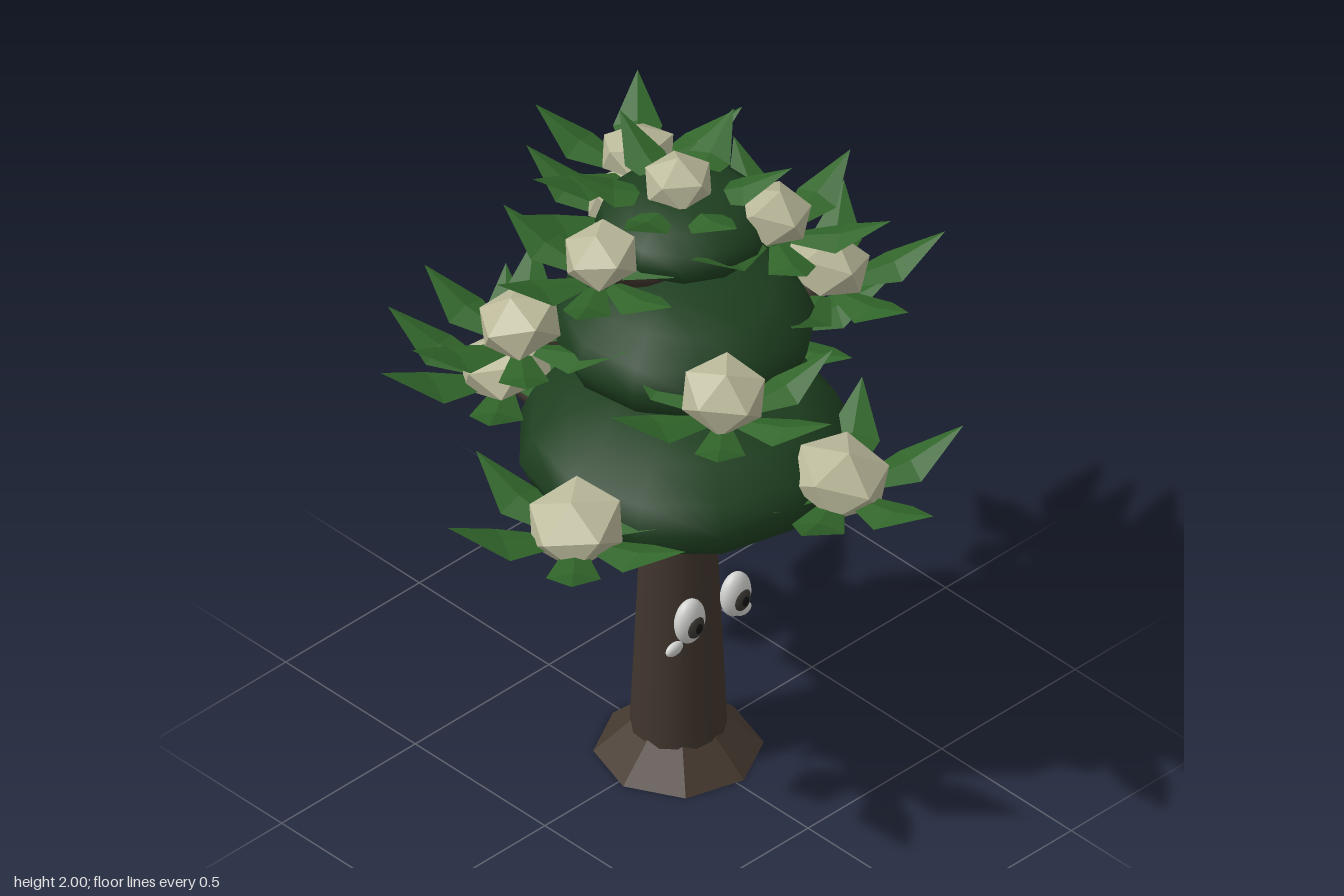
import * as THREE from 'three';

const mat = (name, color, extra = {}) => {
  const m = new THREE.MeshStandardMaterial({ color, ...extra });
  m.name = name;
  return m;
};

export function createModel() {
  const bark = mat('bark', 0x40352d);
  const barkFlat = mat('root bark', 0x45392f, { flatShading: true });
  const foliage = mat('dark foliage', 0x1e3f20);
  const leafGreen = mat('leaf green', 0x31652a, { flatShading: true, side: THREE.DoubleSide });
  const cream = mat('cream blossom', 0xbbb99a, { flatShading: true });
  const white = mat('eye white', 0xd2d2d0);
  const iris = mat('dark iris', 0x3a3632);
  const black = mat('pupil black', 0x121212);

  const root = new THREE.Group();
  root.name = 'tree';
  const add = (name, geo, material, x = 0, y = 0, z = 0, parent = root) => {
    const mesh = new THREE.Mesh(geo, material);
    mesh.name = name;
    mesh.position.set(x, y, z);
    parent.add(mesh);
    return mesh;
  };

  // Trunk, thin inner stem and flared foot
  add('trunk', new THREE.CylinderGeometry(0.095, 0.135, 0.92, 16), bark, 0, 0.46);
  add('stem', new THREE.CylinderGeometry(0.03, 0.07, 0.98, 10), bark, 0, 1.36);
  add('rootFlare', new THREE.CylinderGeometry(0.1, 0.23, 0.125, 8), barkFlat, 0, 0.0625).rotation.y = 0.1;

  // Flattened foliage tiers: [centre height, radius, half height]
  [[1.048, 0.455, 0.207], [1.447, 0.36, 0.187], [1.787, 0.24, 0.115]].forEach(([y, r, h], i) => {
    const geo = new THREE.SphereGeometry(1, 12, 8);
    geo.scale(r, h, r);
    add('foliageTier' + (i + 1), geo, foliage, 0.01, y, 0.01).rotation.y = i * 0.4;
  });

  // Pointed leaf along +x, folded along its raised midrib
  const leafGeo = new THREE.BufferGeometry();
  const ribs = [[0.06, -0.04, 0.03], [0.205, -0.01, 0.074], [0.36, 0.062, 0]];
  const pos = [];
  for (const [x, y, w] of ribs) pos.push(x, y - w * 0.27, -w, x, y, 0, x, y - w * 0.27, w);
  leafGeo.setAttribute('position', new THREE.Float32BufferAttribute(pos, 3));
  const idx = [];
  for (let r = 0; r < 2; r++) {
    for (let c = 0; c < 2; c++) {
      const a = r * 3 + c;
      idx.push(a, a + 1, a + 3, a + 1, a + 4, a + 3);
    }
  }
  leafGeo.setIndex(idx);
  leafGeo.computeVertexNormals();

  // Blossom core with one corner pointing up
  const coreGeo = new THREE.IcosahedronGeometry(1, 0);
  coreGeo.rotateZ(Math.atan(2 / (1 + Math.sqrt(5))));

  // Blossom leaning outward, with three outer leaves and three filling the gap behind
  const blossom = (x, y, z, [a, b, c], { r, h, leaf: size, drop, lean }, spin) => {
    const g = new THREE.Group();
    g.name = 'blossom';
    g.position.set(x, y, z);
    const core = add('blossomCore', coreGeo, cream, 0, 0, 0, g);
    core.scale.set(r, h, r);
    core.quaternion.setFromAxisAngle(new THREE.Vector3(z, 0, -x).normalize(), lean);
    core.rotateY(spin);
    const gap = (a + 360 - c) / 4;
    for (const degrees of [a, b, c, c + gap, c + 2 * gap, c + 3 * gap]) {
      const leaf = add('leaf', leafGeo, leafGreen, 0, -drop, 0, g);
      leaf.rotation.y = -THREE.MathUtils.degToRad(degrees);
      leaf.scale.setScalar(size);
    }
    root.add(g);
  };

  // Branch curving up from the stem to a blossom
  const branch = (x, y, z, { y0, thick, bow }) => {
    const curve = new THREE.CatmullRomCurve3([
      new THREE.Vector3(0, y0, 0),
      new THREE.Vector3(x * 0.5, y0 + (y - y0) * bow, z * 0.5),
      new THREE.Vector3(x, y, z),
    ]);
    add('branch', new THREE.TubeGeometry(curve, 8, thick, 6), bark);
  };

  // Blossoms by tier: each spot is [x, z, leaf angles]
  const tiers = [
    { y: 1.1, y0: 0.865, r: 0.145, h: 0.09, leaf: 1, drop: 0, lean: 0.3, thick: 0.024, bow: 0.33,
      spots: [[-0.15, -0.51, [-156, -108, -46]], [0.49, -0.18, [-30, 29, 92]],
        [-0.505, 0.125, [79, 136, 208]], [0.15, 0.47, [21, 90, 151]]] },
    { y: 1.515, y0: 1.27, r: 0.126, h: 0.088, leaf: 0.93, drop: 0.03, lean: 0.3, thick: 0.027, bow: 0.28,
      spots: [[0.22, -0.42, [-101, -34, 38]], [-0.37, -0.23, [131, 195, 264]],
        [0.4, 0.16, [-38, 26, 93]], [-0.2, 0.38, [74, 137, 200]]] },
    { y: 1.825, y0: 1.64, r: 0.112, h: 0.078, leaf: 0.9, drop: 0.03, lean: 0.25, thick: 0.03, bow: 0.25,
      spots: [[0.1, -0.26, [-165, -104, -46]], [-0.29, 0, [98, 146, 194]], [0.17, 0.19, [-6, 56, 118]]] },
  ];
  for (const t of tiers) {
    t.spots.forEach(([x, z, angles], i) => {
      blossom(x, t.y, z, angles, t, i * 1.3);
      branch(x, t.y - 0.045, z, t);
    });
  }
  blossom(0, 1.918, 0, [-77, -17, 43], { r: 0.102, h: 0.082, leaf: 0.85, drop: 0.01, lean: 0 }, 0.3);

  // Eyes standing just in front of the trunk, with small drops below
  const ball = new THREE.SphereGeometry(1, 20, 14);
  for (const s of [-1, 1]) {
    add('eye', ball, white, s * 0.086, 0.546, 0.132).scale.set(0.05, 0.07, 0.033);
    add('iris', ball, iris, s * 0.087, 0.54, 0.152).scale.set(0.031, 0.038, 0.02);
    add('pupil', ball, black, s * 0.087, 0.54, 0.166).scale.set(0.014, 0.018, 0.009);
    const drop = add('tearDrop', ball, white, s * 0.128, 0.464, 0.116);
    drop.scale.set(0.03, 0.02, 0.014);
    drop.rotation.z = -s * 0.1;
  }

  return root;
}
